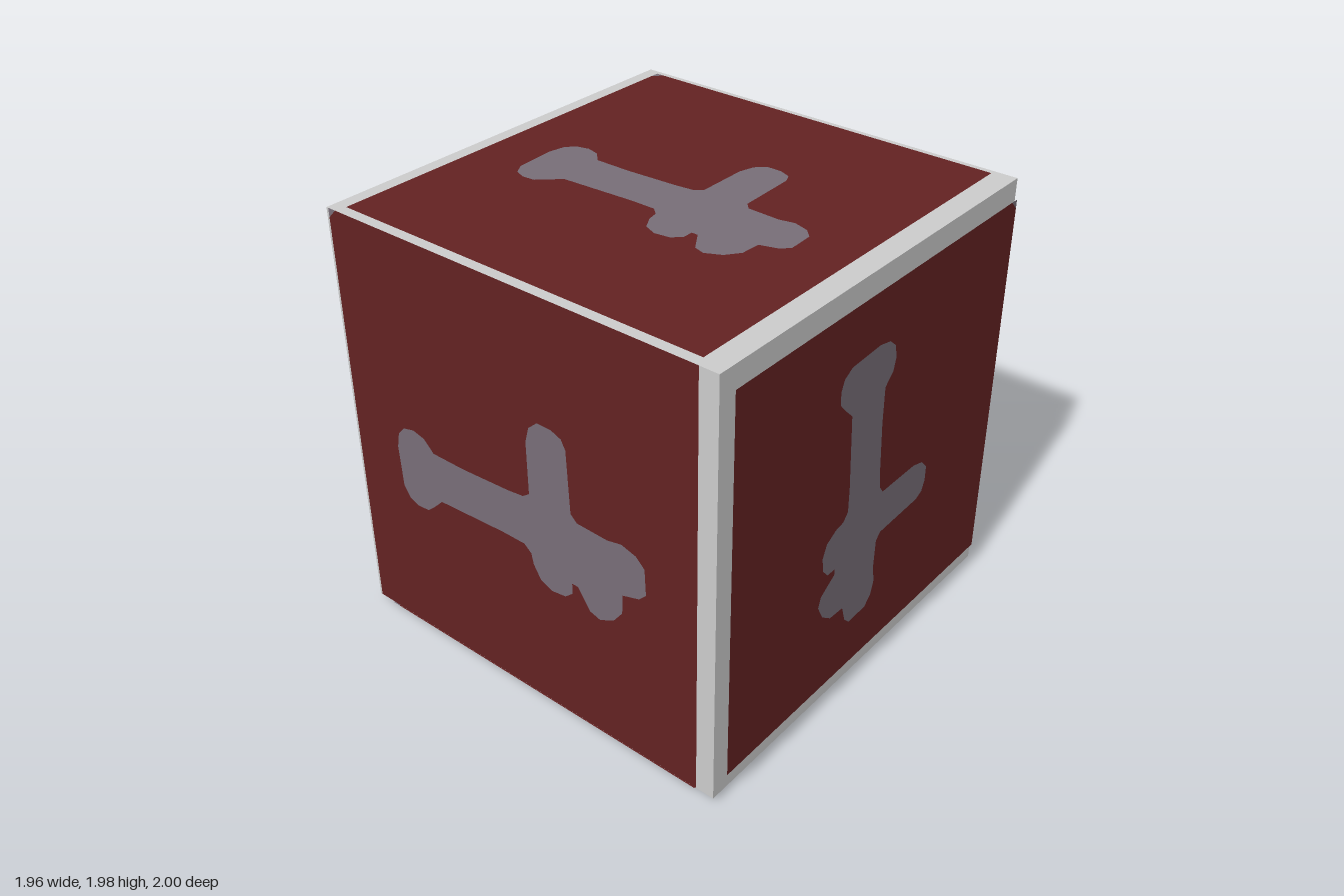
import * as THREE from 'three';

const bodyGrey = new THREE.MeshStandardMaterial({ color: 0xcccccc });
bodyGrey.name = 'bodyGrey';
const panelRed = new THREE.MeshStandardMaterial({ color: 0x632222, side: THREE.DoubleSide });
panelRed.name = 'panelRed';
const emblemGrey = new THREE.MeshStandardMaterial({ color: 0x786e78, side: THREE.DoubleSide });
emblemGrey.name = 'emblemGrey';

// Panel size at full scale and the centre the outline is measured from
const W = 1.82, H = 1.915, CX = -0.025, CY = 1.0225;

// Outline of the key-like patch, clockwise from its left end
const outline = [
  [-.69, .98], [-.675, 1.05], [-.64, 1.09], [-.58, 1.105], [-.52, 1.09], [-.47, 1.04], [-.3, 1.04],
  [-.05, 1.055], [.03, 1.065], [.065, 1.09], [.065, 1.33], [.085, 1.4], [.13, 1.44], [.2, 1.44],
  [.25, 1.42], [.27, 1.38], [.28, 1.1], [.31, 1.07], [.46, 1.065], [.53, 1.08], [.6, 1.06],
  [.64, 1.02], [.645, .9], [.61, .865], [.53, .84], [.525, .75], [.48, .69], [.41, .655],
  [.36, .67], [.3, .76], [.27, .76], [.27, .71], [.23, .675], [.16, .665], [.1, .69],
  [.065, .75], [.055, .8], [.02, .83], [-.1, .83], [-.45, .81], [-.5, .76], [-.54, .725],
  [-.6, .72], [-.65, .74], [-.68, .79],
].map(([x, y]) => new THREE.Vector2(x - CX, y - CY));

const shapeOf = (points) => new THREE.Shape(points.map(([x, y]) => new THREE.Vector2(x, y)));

function part(name, geometry, material) {
  const mesh = new THREE.Mesh(geometry, material);
  mesh.name = name;
  return mesh;
}

// Flat floating panel with a patch inlaid flush and one clipped corner
function createPanel(name, width, position, rotation) {
  const x = W / 2, y = H / 2, clip = 0.04;
  const sheet = shapeOf([[-x, -y], [x, -y], [x, y], [-x + clip, y], [-x, y - clip]]);
  sheet.holes.push(new THREE.Path(outline));
  const corner = shapeOf([[-x, y - clip], [-x + clip, y], [-x, y]]);

  const panel = new THREE.Group();
  panel.name = name;
  panel.add(
    part('panelSheet', new THREE.ShapeGeometry(sheet), panelRed),
    part('panelPatch', new THREE.ShapeGeometry(new THREE.Shape(outline)), emblemGrey),
    part('panelCorner', new THREE.ShapeGeometry(corner), emblemGrey),
  );
  panel.scale.setScalar(width / W);
  panel.position.set(...position);
  panel.rotation.set(...rotation);
  return panel;
}

export function createModel() {
  const model = new THREE.Group();
  model.name = 'panelledCube';

  // Solid cube
  const cube = part('cubeBody', new THREE.BoxGeometry(1.93, 1.93, 1.93), bodyGrey);
  cube.position.set(-0.015, 0.995, 0.01);
  model.add(cube);

  // Panels on five sides; the -x side stays plain
  const q = Math.PI / 2;
  model.add(
    createPanel('frontPanel', 1.82, [-0.025, 1.0225, 1], [0, 0, 0]),
    createPanel('backPanel', 1.75, [-0.0225, 0.97, -1], [Math.PI, 0, 0]),
    createPanel('sidePanel', 1.75, [0.98, 1.015, 0.0075], [0, q, -q]),
    createPanel('topPanel', 1.755, [-0.0175, 1.975, 0.0225], [-q, 0, 0]),
    createPanel('bottomPanel', 1.755, [-0.035, 0, 0.035], [q, 0, 0]),
  );
  return model;
}
